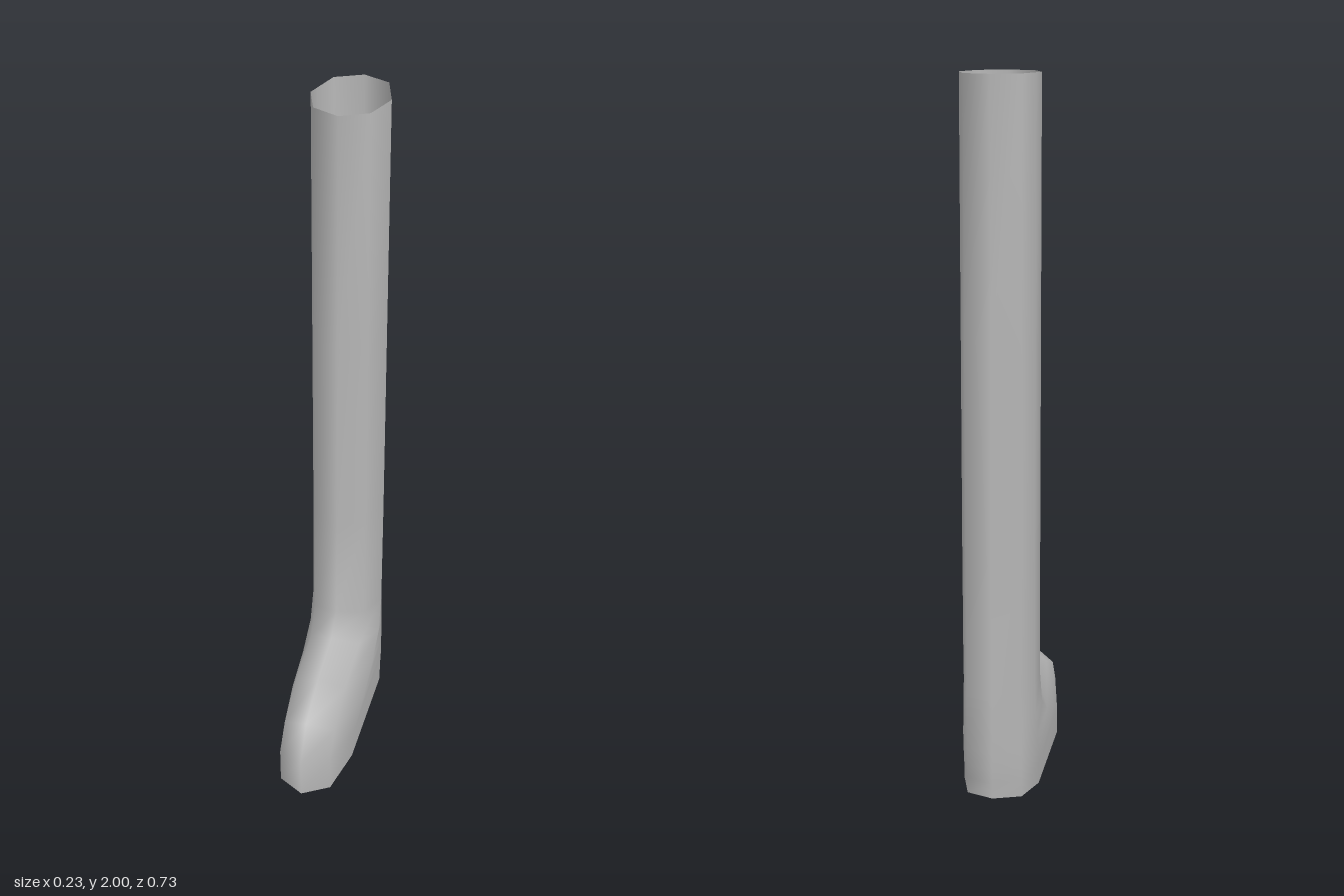
import * as THREE from 'three';

// Half rings from front to back, each point [x, y, z]; mirrored to ten points.
const tubeRing = (y, front = -0.07) => [
  [0, y, front], [0.077, y, -0.11], [0.11, y, -0.21], [0.1, y, -0.245], [0.077, y, -0.325], [0, y, -0.363],
];

const RINGS = [
  tubeRing(2),
  tubeRing(1.3),
  tubeRing(0.7),
  // ankle
  [[0, 0.38, -0.06], [0.077, 0.36, -0.1], [0.11, 0.34, -0.205], [0.101, 0.33, -0.245], [0.077, 0.32, -0.325], [0, 0.32, -0.363]],
  // instep
  [[0, 0.32, 0.0], [0.077, 0.275, -0.05], [0.111, 0.24, -0.17], [0.104, 0.23, -0.24], [0.077, 0.22, -0.325], [0, 0.22, -0.363]],
  // top of the foot
  [[0, 0.29, 0.16], [0.077, 0.245, 0.13], [0.112, 0.18, -0.08], [0.107, 0.16, -0.23], [0.077, 0.15, -0.325], [0, 0.15, -0.362]],
  // toe
  [[0, 0.235, 0.3], [0.077, 0.19, 0.26], [0.113, 0.14, 0.04], [0.109, 0.11, -0.22], [0.077, 0.1, -0.325], [0, 0.1, -0.36]],
  [[0, 0.135, 0.365], [0.077, 0.12, 0.315], [0.109, 0.09, 0.14], [0.109, 0.07, -0.21], [0.077, 0.06, -0.323], [0, 0.06, -0.358]],
  // rim of the sole
  [[0, 0.01, 0.362], [0.077, 0.008, 0.313], [0.107, 0.005, 0.16], [0.108, 0.005, -0.21], [0.077, 0.012, -0.32], [0, 0.015, -0.354]],
];

// Closed loop running front, left, back, right
function fullRing(half) {
  const right = half.slice(1, -1).reverse().map(([x, y, z]) => [-x, y, z]);
  return [...half, ...right];
}

function makeGeometry(points, index) {
  const geometry = new THREE.BufferGeometry();
  geometry.setAttribute('position', new THREE.Float32BufferAttribute(points.flat(), 3));
  geometry.setIndex(index);
  geometry.computeVertexNormals();
  return geometry;
}

// Skin the rings, listed from the top down
function loft(rings) {
  const n = rings[0].length;
  const index = [];
  for (let r = 0; r < rings.length - 1; r++) {
    for (let i = 0; i < n; i++) {
      const a = r * n + i, b = r * n + ((i + 1) % n);
      index.push(a, a + n, b, b, a + n, b + n);
    }
  }
  return makeGeometry(rings.flat(), index);
}

// Fan closing the underside
function cap(ring) {
  const index = [];
  ring.forEach((_, i) => index.push(ring.length, (i + 1) % ring.length, i));
  return makeGeometry([...ring, [0, 0, 0]], index);
}

export function createModel() {
  const group = new THREE.Group();
  group.name = 'boot';
  const grey = new THREE.MeshStandardMaterial({ color: 0xb8b8b8, side: THREE.DoubleSide });
  grey.name = 'grey';

  const rings = RINGS.map(fullRing);
  const upper = new THREE.Mesh(loft(rings), grey);
  upper.name = 'shaftAndFoot';
  const sole = new THREE.Mesh(cap(rings[rings.length - 1]), grey);
  sole.name = 'sole';
  group.add(upper, sole);
  return group;
}
